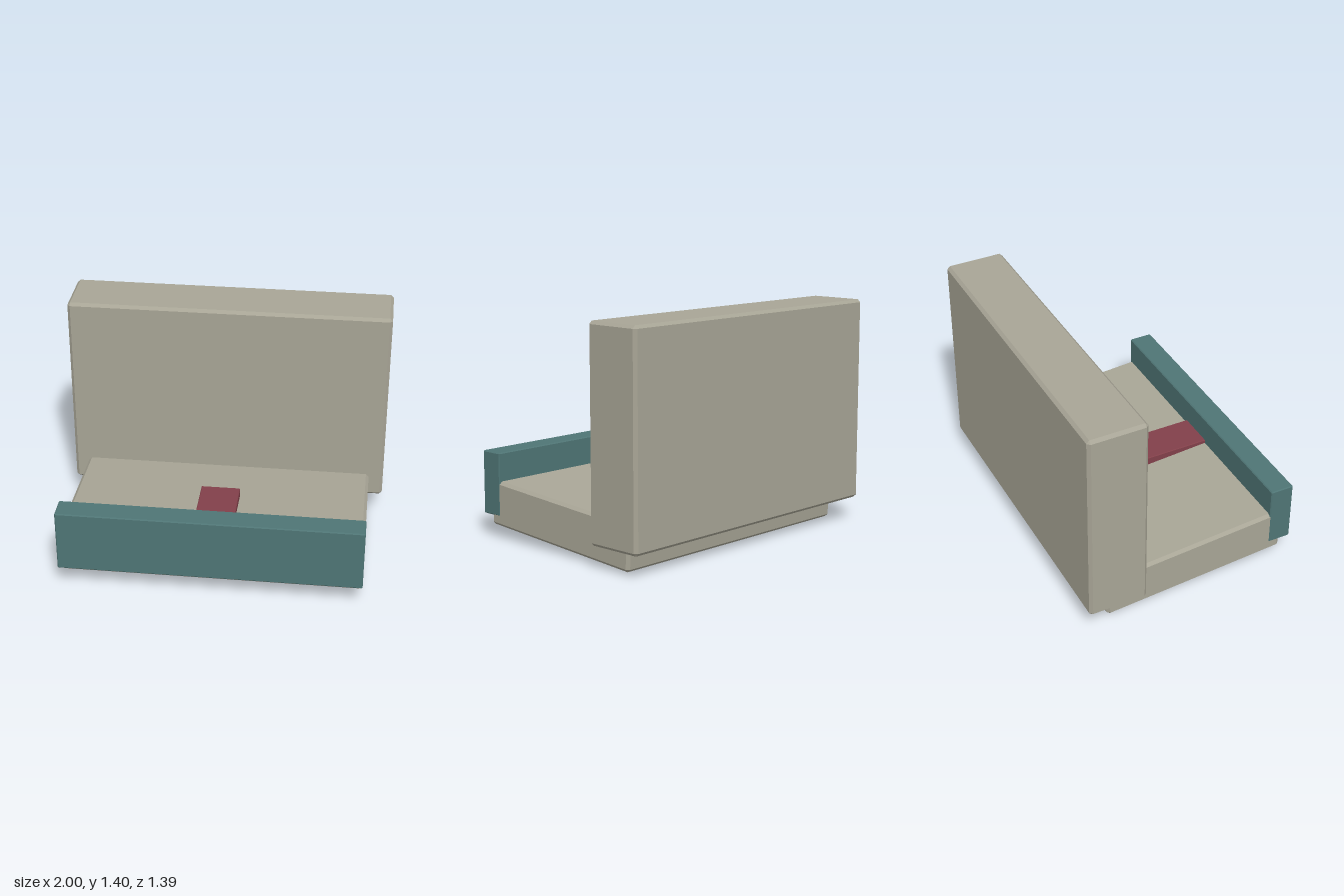
import * as THREE from 'three';
import { ConvexGeometry } from 'three/addons/geometries/ConvexGeometry.js';

const material = (name, color) => {
  const m = new THREE.MeshStandardMaterial({ color });
  m.name = name;
  return m;
};

// Box with flat chamfers of size c on every edge
function chamferBox(w, h, d, c) {
  const half = [w / 2, h / 2, d / 2];
  const points = [];
  for (const sx of [-1, 1]) for (const sy of [-1, 1]) for (const sz of [-1, 1]) {
    const s = [sx, sy, sz];
    for (let full = 0; full < 3; full++) {
      points.push(new THREE.Vector3(...s.map((v, i) => v * (half[i] - (i === full ? 0 : c)))));
    }
  }
  return new ConvexGeometry(points);
}

export function createModel() {
  const group = new THREE.Group();
  const beige = material('warm grey', 0xa8a596);
  const teal = material('dark teal', 0x4f7575);
  const red = material('dull red', 0x82404a);

  const add = (name, mat, size, chamfer, position, tilt = 0) => {
    const mesh = new THREE.Mesh(chamferBox(...size, chamfer), mat);
    mesh.name = name;
    mesh.position.set(...position);
    mesh.rotation.x = tilt;
    group.add(mesh);
  };

  // Upright slab at the rear
  add('backrest', beige, [2, 1.26, 0.367], 0.018, [0, 0.77, -0.51]);
  // Base slab, rising gently towards the front
  add('seat', beige, [1.82, 0.276, 1.17], 0.018, [0, 0.18, 0.036], -0.07);
  // Plate across the front edge
  add('frontPanel', teal, [1.824, 0.388, 0.147], 0.006, [0, 0.335, 0.62]);
  // Small block behind the front plate
  add('centreBlock', red, [0.24, 0.08, 0.5], 0.004, [0, 0.336, 0.307]);

  return group;
}
